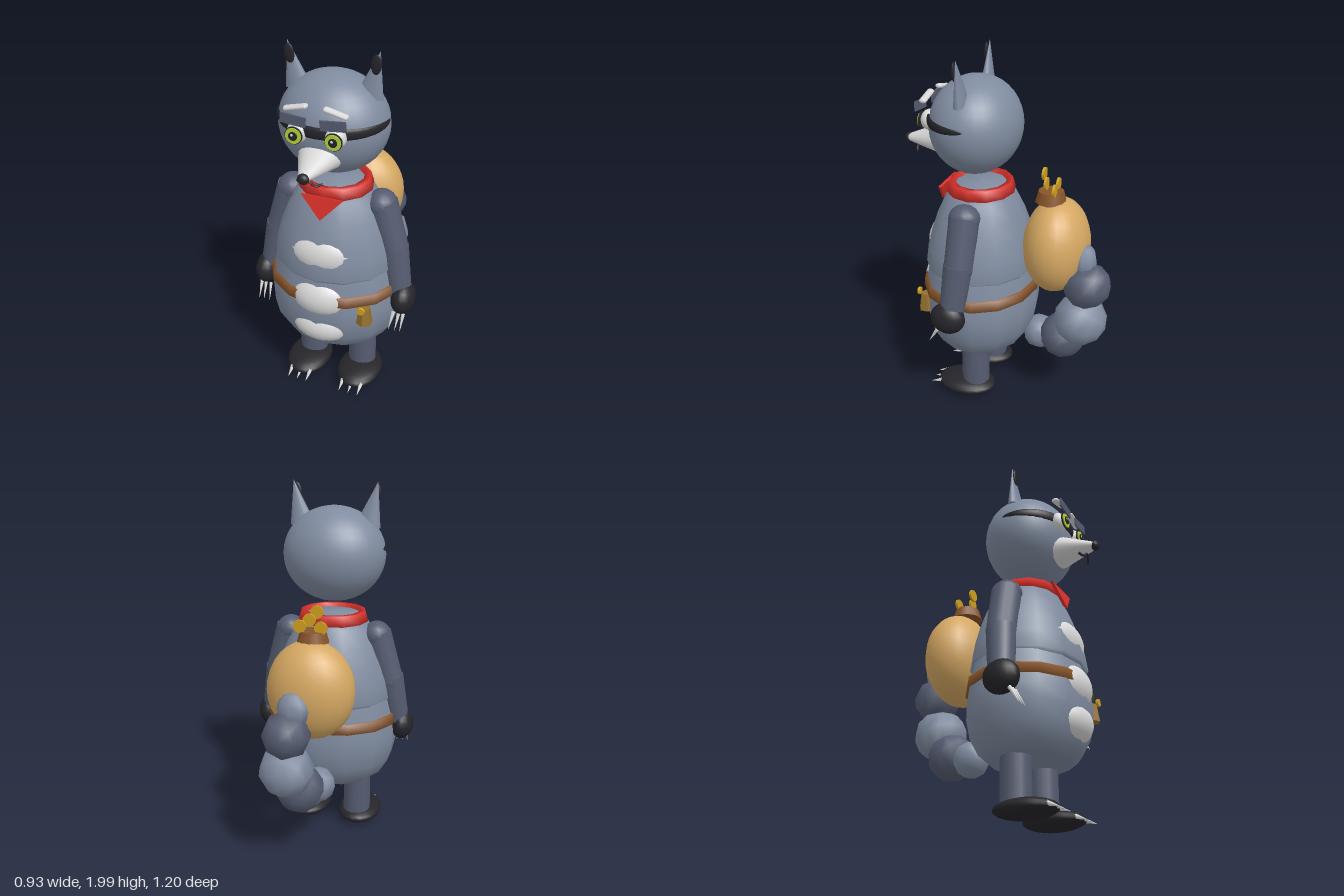
import * as THREE from 'three';

const mat = (name, color) => {
  const m = new THREE.MeshStandardMaterial({ color });
  m.name = name;
  return m;
};

export function createModel() {
  const fur = mat('grey fur', 0x7f8b9f);
  const slate = mat('slate fur', 0x555c70);
  const black = mat('black', 0x25252a);
  const white = mat('white fur', 0xd8d8d8);
  const red = mat('red cloth', 0xd8302a);
  const brown = mat('brown leather', 0x87542a);
  const tan = mat('tan sack', 0xd4a762);
  const gold = mat('gold', 0xd0a020);
  const green = mat('green eye', 0xb4d435);
  const pouchMat = mat('pouch leather', 0x94702f);

  const model = new THREE.Group();
  model.name = 'raccoonThief';

  const add = (name, geo, material, [x, y, z], rot = [0, 0, 0]) => {
    const m = new THREE.Mesh(geo, material);
    m.name = name;
    m.position.set(x, y, z);
    m.rotation.set(...rot);
    model.add(m);
    return m;
  };
  const ball = (name, material, pos, [rx, ry, rz], w = 24, h = 16, rot) => {
    const m = add(name, new THREE.SphereGeometry(1, w, h), material, pos, rot);
    m.scale.set(rx, ry, rz);
    return m;
  };
  // Tapered round bar from point a to point b
  const bar = (name, material, a, b, ra, rb, seg = 14) => {
    const va = new THREE.Vector3(...a), vb = new THREE.Vector3(...b);
    const dir = vb.clone().sub(va);
    const m = add(name, new THREE.CylinderGeometry(rb, ra, dir.length(), seg), material,
      va.clone().add(vb).multiplyScalar(0.5).toArray());
    m.quaternion.setFromUnitVectors(new THREE.Vector3(0, 1, 0), dir.normalize());
    return m;
  };
  const lathe = (name, material, pts, zScale, z = 0.16, seg = 14) => {
    const geo = new THREE.LatheGeometry(pts.map(([r, y]) => new THREE.Vector2(r, y)), seg);
    const m = add(name, geo, material, [0, 0, z]);
    m.scale.z = zScale;
    return m;
  };

  // Body
  lathe('hips', fur, [[0, 0.32], [0.24, 0.32], [0.3, 0.365], [0.35, 0.45], [0.372, 0.55],
    [0.372, 0.63], [0.36, 0.72], [0.335, 0.83]], 0.86);
  lathe('torso', fur, [[0.325, 0.81], [0.343, 0.83], [0.328, 0.93], [0.3, 1.03], [0.262, 1.13],
    [0.21, 1.23], [0.16, 1.285], [0, 1.3]], 0.9);
  lathe('belt', brown, [[0.34, 0.68], [0.378, 0.68], [0.37, 0.735], [0.33, 0.735]], 0.865);
  ball('chestPatch', white, [0, 0.945, 0.35], [0.185, 0.125, 0.108]);
  ball('upperBellyPatch', white, [0, 0.69, 0.38], [0.17, 0.125, 0.117]);
  ball('lowerBellyPatch', white, [0, 0.5, 0.37], [0.175, 0.112, 0.124]);

  // Neckerchief
  const scarf = lathe('scarf', red, [[0.15, 1.25], [0.2, 1.25], [0.183, 1.305], [0.15, 1.305],
    [0.15, 1.25]], 0.94, 0.16, 12);
  scarf.material = red;
  const tri = new THREE.Shape([[-0.112, 0], [0, -0.122], [0.112, 0]]
    .map(([x, y]) => new THREE.Vector2(x, y)));
  add('scarfTriangle', new THREE.ExtrudeGeometry(tri, { depth: 0.016, bevelEnabled: false }),
    red, [0, 1.27, 0.35], [-0.25, 0, 0]);

  // Head
  ball('head', fur, [0, 1.615, 0.18], [0.284, 0.26, 0.245], 32, 20);
  const mask = new THREE.SphereGeometry(1, 12, 28).rotateZ(-Math.PI / 2);
  const mp = mask.attributes.position;
  for (let i = 0; i < mp.count; i++) {
    // Wrap a long lens around the head
    const a = mp.getX(i) * 1.7, r = 1 + mp.getZ(i) * 0.045;
    mp.setXYZ(i, Math.sin(a) * 0.279 * r, mp.getY(i) * 0.031, Math.cos(a) * 0.243 * r);
  }
  mask.computeVertexNormals();
  add('mask', mask, black, [0, 1.655, 0.18]);

  // Muzzle, nose and mouth
  const muzzle = bar('muzzle', white, [0, 1.515, 0.36], [0, 1.495, 0.575], 0.118, 0.026, 20);
  muzzle.scale.z = 0.72;
  ball('nose', black, [0, 1.493, 0.575], [0.03, 0.027, 0.024], 14, 10);
  const mouth = new THREE.CatmullRomCurve3([[-0.065, 1.438, 0.5], [-0.035, 1.43, 0.515],
    [0, 1.455, 0.525], [0.035, 1.43, 0.515], [0.065, 1.438, 0.5]]
    .map((p) => new THREE.Vector3(...p)));
  add('mouth', new THREE.TubeGeometry(mouth, 20, 0.007, 6), black, [0, 0, 0]);

  for (const s of [-1, 1]) {
    const side = s > 0 ? 'left' : 'right';

    // Eyes and brows
    ball(side + 'EyeWhite', white, [s * 0.095, 1.642, 0.405], [0.054, 0.055, 0.045], 18, 12);
    const disc = (part, m, r, z) => add(side + part, new THREE.CylinderGeometry(r, r, 0.008, 20),
      m, [s * 0.1, 1.638, z], [Math.PI / 2, 0, 0]);
    disc('EyeRim', black, 0.044, 0.446);
    disc('Iris', green, 0.04, 0.451);
    disc('Pupil', black, 0.022, 0.456);
    ball(side + 'Glint', white, [s * 0.1 - 0.004, 1.644, 0.46], [0.007, 0.007, 0.003], 8, 6);
    add(side + 'Eyelid', new THREE.BoxGeometry(0.128, 0.05, 0.009), slate,
      [s * 0.1, 1.72, 0.45], [0, 0, s * 0.1]);
    const brow = add(side + 'Brow', new THREE.CapsuleGeometry(0.013, 0.1, 4, 10), white,
      [s * 0.1, 1.768, 0.412], [0, 0, Math.PI / 2 - s * 0.24]);
    brow.scale.z = 1.6;

    // Ears
    const ear = bar(side + 'Ear', fur, [s * 0.185, 1.775, 0.185], [s * 0.233, 2.0, 0.19],
      0.068, 0.001, 16);
    ear.scale.z = 0.52;
    ball(side + 'InnerEar', black, [s * 0.219, 1.94, 0.204], [0.027, 0.05, 0.009], 14, 10,
      [0, 0, -s * 0.1]);

    // Arms, paws and claws
    ball(side + 'Shoulder', slate, [s * 0.25, 1.18, 0.16], [0.08, 0.075, 0.085], 16, 10);
    bar(side + 'UpperArm', slate, [s * 0.25, 1.19, 0.16], [s * 0.325, 0.92, 0.17], 0.082, 0.08);
    ball(side + 'Elbow', slate, [s * 0.325, 0.92, 0.17], [0.08, 0.07, 0.08], 16, 10);
    bar(side + 'Forearm', slate, [s * 0.325, 0.94, 0.17], [s * 0.372, 0.68, 0.195], 0.08, 0.068);
    ball(side + 'Hand', black, [s * 0.4, 0.645, 0.21], [0.066, 0.09, 0.098], 18, 12);
    for (const x of [0.365, 0.395, 0.42]) {
      bar(side + 'HandClaw', white, [s * x, 0.575, 0.265], [s * (x * 1.15 - 0.065), 0.49, 0.315],
        0.011, 0.001, 6);
    }

    // Legs, feet and claws
    bar(side + 'Leg', slate, [s * 0.152, 0.06, 0.155], [s * 0.152, 0.42, 0.155], 0.08, 0.078, 16);
    ball(side + 'Foot', black, [s * 0.158, 0.056, 0.21], [0.126, 0.05, 0.172], 20, 12);
    for (const dx of [-0.055, 0, 0.055]) {
      bar(side + 'FootClaw', white, [s * 0.158 + dx, 0.06, 0.345],
        [s * 0.158 + dx, 0.035, 0.415], 0.014, 0.001, 6);
    }
  }

  // Belt pouch
  const pouchGeo = new THREE.CylinderGeometry(0.03, 0.045, 0.1, 6).toNonIndexed();
  pouchGeo.computeVertexNormals();
  add('pouch', pouchGeo, pouchMat, [0.248, 0.628, 0.405]);
  add('pouchButton', new THREE.CylinderGeometry(0.021, 0.021, 0.014, 12), gold,
    [0.242, 0.68, 0.447], [Math.PI / 2, 0, 0]);

  // Sack with coins
  ball('sack', tan, [0, 0.983, -0.275], [0.236, 0.268, 0.18], 20, 16);
  add('sackNeck', new THREE.CylinderGeometry(0.068, 0.085, 0.06, 12), brown, [0, 1.263, -0.235]);
  const coins = [[-0.05, 1.315, -0.26], [0.06, 1.32, -0.27], [0.025, 1.34, -0.215],
    [-0.01, 1.38, -0.193]];
  for (const p of coins) {
    add('coin', new THREE.CylinderGeometry(0.035, 0.035, 0.013, 10), gold, p,
      [Math.PI / 2, 0, 0]);
  }

  // Ringed tail curling upward
  const tail = [[-0.01, 0.39, -0.185, 0.098, 0.3], [0.045, 0.437, -0.34, 0.132, 0.9],
    [0.085, 0.59, -0.445, 0.147, 1.3], [0.073, 0.8, -0.47, 0.13, 1.7]];
  tail.forEach(([x, y, z, r, tilt], i) => {
    ball('tailRing', i % 2 ? slate : fur, [x, y, z], [r, r, r], 8, 6, [tilt, 0, 0]);
  });
  ball('tailTip', fur, [0.045, 0.93, -0.445], [0.085, 0.095, 0.065], 8, 6);

  return model;
}
